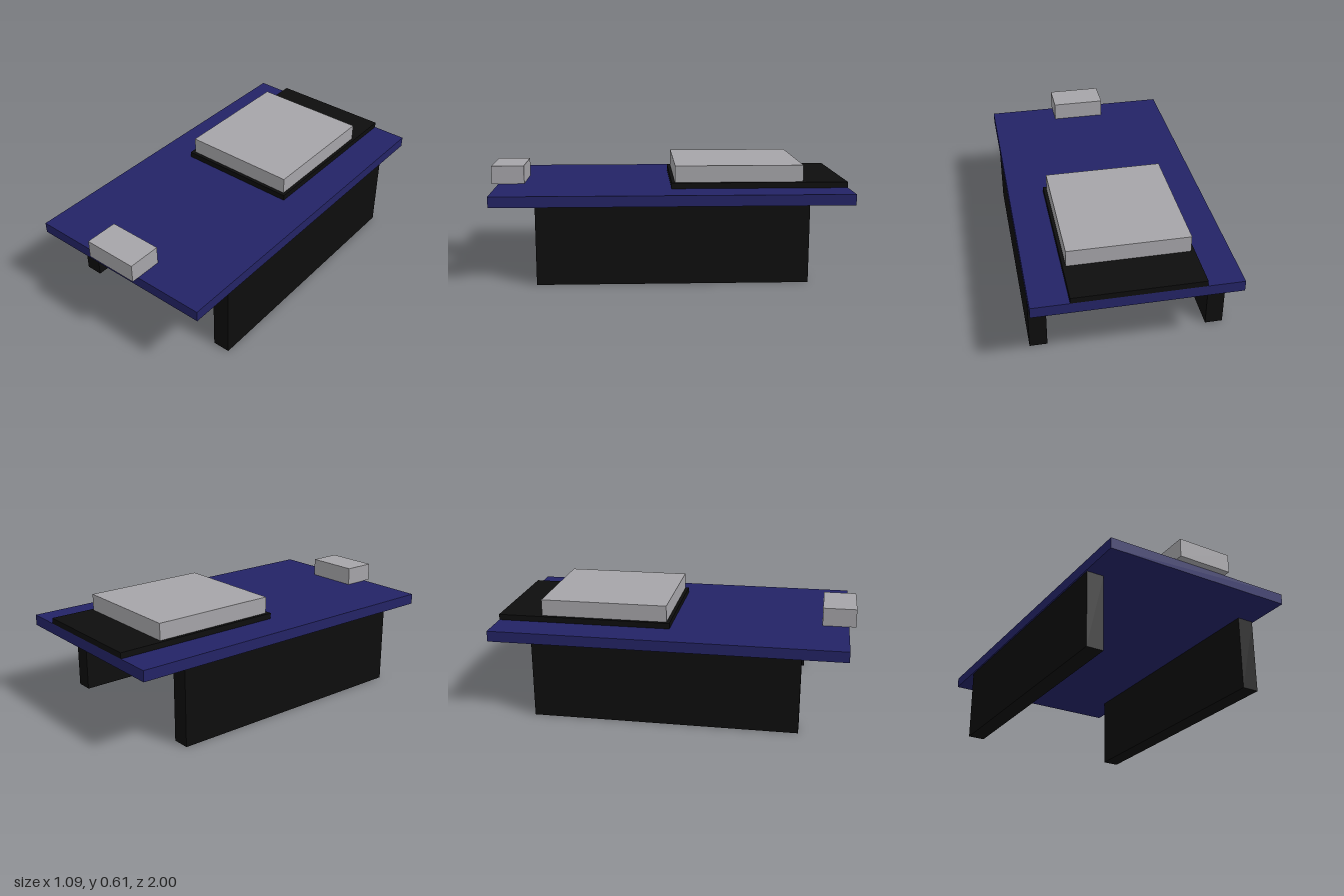
import * as THREE from 'three';

export function createModel() {
  const model = new THREE.Group();
  model.name = 'circuitModule';

  const material = (name, color) => {
    const m = new THREE.MeshStandardMaterial({ color });
    m.name = name;
    return m;
  };
  const boardBlue = material('boardBlue', 0x232365);
  const black = material('black', 0x0d0d0d);
  const metalGrey = material('metalGrey', 0xa5a4a8);

  // Box given by its lower and upper limits on each axis
  const block = (name, mat, [x0, x1], [y0, y1], [z0, z1]) => {
    const mesh = new THREE.Mesh(new THREE.BoxGeometry(x1 - x0, y1 - y0, z1 - z0), mat);
    mesh.position.set((x0 + x1) / 2, (y0 + y1) / 2, (z0 + z1) / 2);
    mesh.name = name;
    model.add(mesh);
  };

  // Main circuit board
  block('board', boardBlue, [-0.545, 0.545], [0.426, 0.486], [-1, 0.962]);

  // Pin header strips, one along each long side
  block('leftHeader', black, [0.44, 0.537], [0, 0.426], [-0.752, 0.716]);
  block('rightHeader', black, [-0.537, -0.44], [0, 0.426], [-0.752, 0.716]);

  // Radio module: carrier plate reaching the back edge, and its metal shield
  block('carrierPlate', black, [-0.348, 0.346], [0.486, 0.518], [-1, -0.018]);
  block('shield', metalGrey, [-0.328, 0.328], [0.518, 0.611], [-0.752, -0.038]);

  // Socket overhanging the front edge
  block('socket', metalGrey, [-0.154, 0.153], [0.486, 0.589], [0.815, 1]);

  return model;
}
